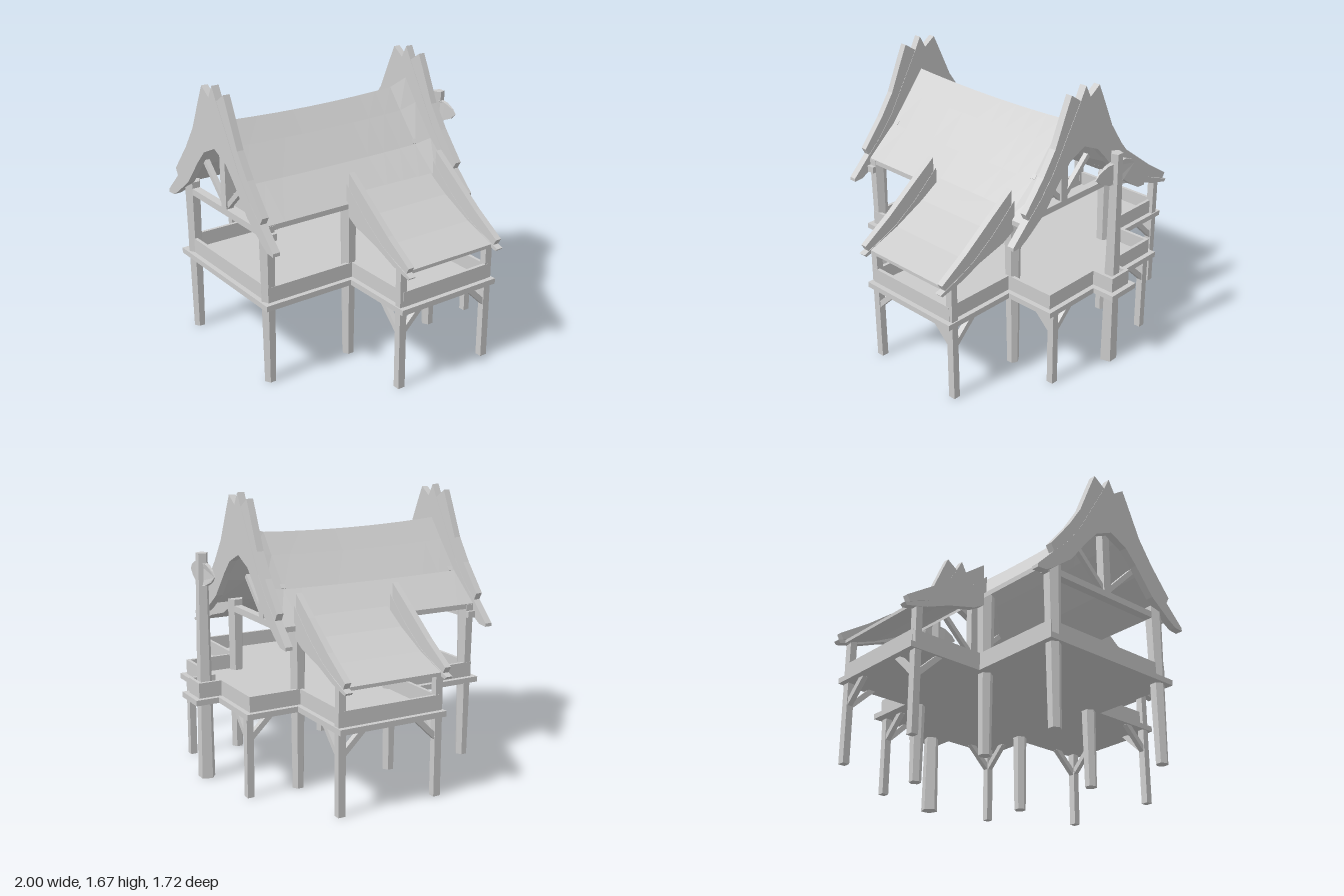
import * as THREE from 'three';

const mat = new THREE.MeshStandardMaterial({ color: 0xcccccc, flatShading: true, side: THREE.DoubleSide });

export function createModel() {
  const model = new THREE.Group();
  const add = (name, geo, x = 0, y = 0, z = 0) => {
    const mesh = new THREE.Mesh(geo, mat);
    mesh.name = name;
    mesh.position.set(x, y, z);
    model.add(mesh);
    return mesh;
  };
  const shapeOf = pts => new THREE.Shape(pts.map(([x, y]) => new THREE.Vector2(x, y)));
  const mirror = pts => pts.map(([x, y]) => [-x, y]);
  // Slab cut from a front-facing outline, from z0 to z1
  const extrudeZ = (pts, z0, z1, steps = 1) =>
    new THREE.ExtrudeGeometry(shapeOf(pts), { depth: z1 - z0, steps, bevelEnabled: false }).translate(0, 0, z0);
  // Closed strip between an upper and a lower line
  const strip = (upper, lower) => [...upper, ...lower.slice().reverse()];
  // Square bar between two points
  const bar = (name, a, b, w) => {
    const from = new THREE.Vector3(...a), to = new THREE.Vector3(...b);
    const mesh = add(name, new THREE.BoxGeometry(w, w, from.distanceTo(to)));
    mesh.position.copy(from).add(to).multiplyScalar(0.5);
    mesh.lookAt(to);
  };

  // Cross-shaped floor plan with a small bay at the back, inset by d (y is -z)
  const plan = d => {
    const half = [
      [0.48 - d, -0.845 + d], [0.48 - d, -0.275 + d], [0.95 - d, -0.275 + d], [0.95 - d, 0.405 - d],
      [0.48 - d, 0.405 - d], [0.48 - d, 0.72 - d], [0.105 - d, 0.72 - d], [0.105 - d, 0.86 - d],
    ];
    return [...half, ...mirror(half).reverse()];
  };
  const layer = (name, shape, y, h) => {
    const geo = new THREE.ExtrudeGeometry(shape, { depth: h, bevelEnabled: false });
    add(name, geo.rotateX(-Math.PI / 2), 0, y, 0);
  };
  layer('floor', shapeOf(plan(0)), 0.475, 0.033);
  const wall = shapeOf(plan(0.03));
  wall.holes.push(shapeOf(plan(0.05)));
  layer('parapet', wall, 0.508, 0.09);

  // Roof profiles on the +x side
  const roofTop = [[0, 1.42], [0.1, 1.3], [0.25, 1.13], [0.45, 0.965]];
  const wingTop = [[0.36, 1.03], [0.55, 0.91], [0.75, 0.81], [0.95, 0.735]];
  const lowered = (pts, t) => pts.map(([x, y]) => [x, y - t]);

  // Main roof with a sagging ridge that flares up at the back
  const fullTop = [...mirror(roofTop).reverse(), ...roofTop.slice(1)];
  const roof = extrudeZ(strip(fullTop, lowered(fullTop, 0.03)), -0.49, 0.815, 11);
  const pos = roof.attributes.position;
  for (let i = 0; i < pos.count; i++) {
    const z = pos.getZ(i), y = pos.getY(i);
    const weight = THREE.MathUtils.clamp((y - 0.965) / 0.455, 0, 1);
    const flare = Math.max(0, (-z - 0.37) / 0.12) * 0.035;
    pos.setY(i, y + weight * (0.05 * (z - 0.16) ** 2 - 0.005 + flare));
  }
  roof.computeVertexNormals();
  add('mainRoof', roof);

  // Layered gable boards of the main roof: inner board and raised outer board
  const innerUp = [[0, 1.645], [0.04, 1.57], [0.13, 1.42], [0.256, 1.21], [0.36, 1.08], [0.46, 0.985], [0.58, 0.865]];
  const innerLow = [[0, 1.285], [0.12, 1.23], [0.2, 1.145], [0.33, 0.985], [0.47, 0.88], [0.52, 0.85], [0.58, 0.845]];
  const innerBoard = strip([...mirror(innerUp).reverse(), ...innerUp.slice(1)],
    [...mirror(innerLow).reverse(), ...innerLow.slice(1)]);
  const outerBoard = strip([[0.118, 1.62], [0.16, 1.53], [0.245, 1.34], [0.34, 1.2], [0.48, 1.03]],
    [[0.03, 1.56], [0.13, 1.4], [0.256, 1.2], [0.36, 1.07], [0.455, 0.985]]);
  // Boards on the side wings
  const wingInner = strip([[0.43, 1.08], [0.6, 0.93], [0.75, 0.825], [0.88, 0.765], [1, 0.72]],
    [[0.43, 0.9], [0.52, 0.85], [0.7, 0.8], [0.85, 0.74], [0.985, 0.705]]);
  const wingOuter = strip([[0.45, 1.15], [0.6, 1.04], [0.8, 0.89], [0.985, 0.77]],
    [[0.45, 1.05], [0.6, 0.92], [0.75, 0.82], [0.965, 0.735]]);

  for (const [z0, z1, lift] of [[0.815, 0.86, 0], [-0.535, -0.49, 0.022]]) {
    add('gableBoard', extrudeZ(innerBoard, z0, z1), 0, lift, 0);
    for (const pts of [outerBoard, mirror(outerBoard)])
      add('gableTrim', extrudeZ(pts, z0 + 0.002, z1 - 0.002), 0, lift, 0);
  }

  // Truss under each gable
  for (const z of [0.79, -0.37]) {
    add('tieBeam', new THREE.BoxGeometry(0.95, 0.04, 0.05), 0, 0.902, z);
    add('kingPost', new THREE.BoxGeometry(0.055, 0.46, 0.05), 0, 1.15, z);
    for (const s of [-1, 1])
      bar('trussBrace', [0, 0.92, z], [s * 0.24, 1.15, z], 0.03);
  }

  for (const s of [-1, 1]) {
    const side = pts => (s > 0 ? pts : mirror(pts));
    add('wingRoof', extrudeZ(side(strip(wingTop, lowered(wingTop, 0.02))), -0.36, 0.23));
    for (const [z0, z1] of [[0.23, 0.272], [-0.402, -0.36]]) {
      add('wingBoard', extrudeZ(side(wingInner), z0, z1));
      add('wingTrim', extrudeZ(side(wingOuter), z0 + 0.002, z1 - 0.002));
    }

    // Heavy posts, wider at the top
    for (const z of [0.79, 0.245, -0.37])
      add('mainPost', new THREE.CylinderGeometry(0.05, 0.036, 0.96, 6), s * 0.41, 0.48, z);

    // Slim wing posts with braces under the floor
    for (const [z, inward] of [[0.245, -1], [-0.375, 1]]) {
      add('wingPost', new THREE.BoxGeometry(0.042, 0.74, 0.045), s * 0.897, 0.37, z);
      bar('floorBrace', [s * 0.89, 0.34, z], [s * 0.74, 0.485, z], 0.032);
      bar('floorBrace', [s * 0.897, 0.34, z], [s * 0.897, 0.485, z + inward * 0.15], 0.032);
    }

    // Slim posts below the back corners
    add('backPost', new THREE.BoxGeometry(0.042, 0.49, 0.042), s * 0.41, 0.245, -0.68);
    bar('floorBrace', [s * 0.41, 0.34, -0.68], [s * 0.26, 0.485, -0.68], 0.032);
    bar('floorBrace', [s * 0.41, 0.34, -0.68], [s * 0.41, 0.485, -0.53], 0.032);
  }

  // Tall five-sided pole at the back with a pointed crosspiece
  add('backPole', new THREE.CylinderGeometry(0.036, 0.052, 1.34, 5), 0, 0.67, -0.762);
  const crest = [[0, 1.285], [0.08, 1.28], [0.14, 1.255], [0.17, 1.225], [0.13, 1.19], [0.06, 1.16], [0, 1.15]];
  const crosspiece = extrudeZ([...crest, ...mirror(crest.slice(1, -1)).reverse()], -0.018, 0.018);
  const cp = crosspiece.attributes.position;
  for (let i = 0; i < cp.count; i++)
    cp.setZ(i, cp.getZ(i) * (1.1 - Math.abs(cp.getX(i)) / 0.17));
  crosspiece.computeVertexNormals();
  add('crosspiece', crosspiece, 0, 0, -0.758);

  return model;
}
